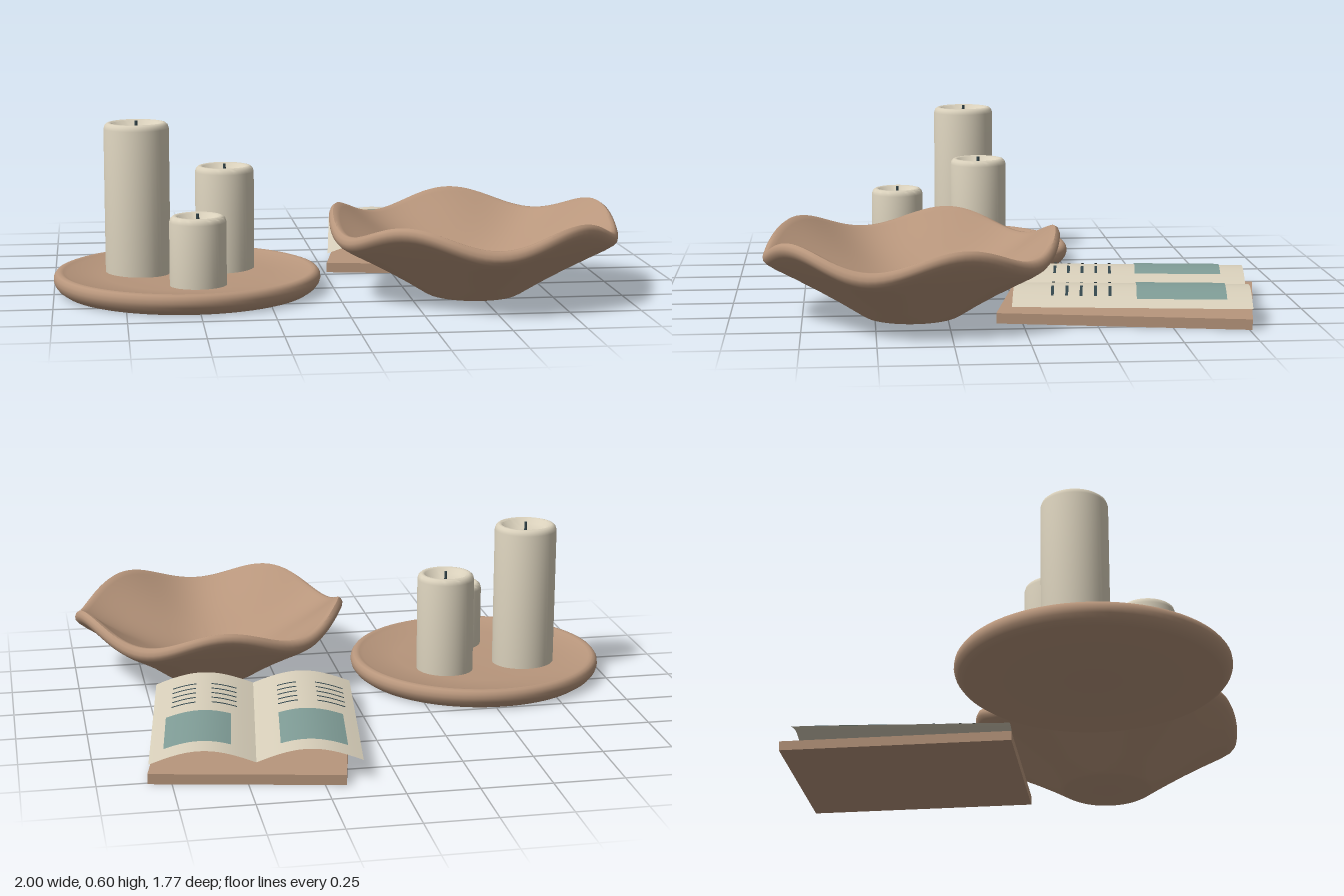
import * as THREE from 'three';
import { toCreasedNormals } from 'three/addons/utils/BufferGeometryUtils.js';

const material = (name, color, side = THREE.FrontSide) => {
  const m = new THREE.MeshStandardMaterial({ color, side });
  m.name = name;
  return m;
};

function lathe(profile, segments = 80) {
  return new THREE.LatheGeometry(profile.map(([r, y]) => new THREE.Vector2(r, y)), segments);
}

// Page surface: each half of the open book is an arch
const HALF = 0.358, LENGTH = 0.81;
const pageHeight = (x) => 0.07 + 0.044 * Math.sin(Math.PI * Math.min(1, Math.abs(x) / HALF));

// Sheet that follows the page arch, raised by lift
function pageSheet(cx, cz, w, d, lift, segments) {
  const geo = new THREE.PlaneGeometry(w, d, segments, 1).rotateX(-Math.PI / 2).translate(cx, 0, cz);
  const p = geo.attributes.position;
  for (let i = 0; i < p.count; i++) p.setY(i, pageHeight(p.getX(i)) + lift);
  geo.computeVertexNormals();
  return geo;
}

export function createModel() {
  const wood = material('warm wood', 0xb8967c);
  const cream = material('cream wax and paper', 0xd8cfba, THREE.DoubleSide);
  const teal = material('muted teal', 0x7f9c96, THREE.DoubleSide);
  const dark = material('dark slate', 0x33464c, THREE.DoubleSide);

  const model = new THREE.Group();
  model.name = 'tableDecor';
  const add = (parent, name, geo, mat, x = 0, y = 0, z = 0) => {
    const mesh = new THREE.Mesh(geo, mat);
    mesh.name = name;
    mesh.position.set(x, y, z);
    parent.add(mesh);
    return mesh;
  };

  // Round tray with a shallow dish
  const trayProfile = [
    [0, 0], [0.442, 0], [0.462, 0.014], [0.474, 0.03], [0.478, 0.045], [0.476, 0.06],
    [0.468, 0.071], [0.456, 0.075], [0.444, 0.072], [0.43, 0.065], [0.3, 0.056], [0, 0.045],
  ];
  add(model, 'tray', toCreasedNormals(lathe(trayProfile), 0.7), wood, -0.523, 0, 0.2);

  // Candles with a hollow top and a wick
  const candles = [
    ['tallCandle', -0.698, 0.122, 0.117, 0.597],
    ['mediumCandle', -0.38, 0.083, 0.107, 0.43],
    ['smallCandle', -0.495, 0.395, 0.1, 0.3],
  ];
  for (const [name, x, z, r, top] of candles) {
    const candle = new THREE.Group();
    candle.name = name;
    candle.position.set(x, 0, z);
    const wax = [
      [0, 0.045], [r, 0.045], [r, top - 0.022], [r - 0.004, top - 0.009], [r - 0.012, top - 0.002],
      [r - 0.02, top], [r - 0.028, top - 0.004], [r - 0.04, top - 0.02], [r * 0.35, top - 0.03], [0, top - 0.032],
    ];
    add(candle, 'wax', toCreasedNormals(lathe(wax, 48), 0.9), cream);
    add(candle, 'wick', new THREE.CylinderGeometry(0.005, 0.006, 0.04, 8), dark, 0, top - 0.014, 0);
    model.add(candle);
  }

  // Bowl whose rim rises and falls in five waves
  const bowlProfile = [
    [0, 0], [0.165, 0], [0.18, 0.008], [0.25, 0.055], [0.33, 0.108], [0.41, 0.16], [0.47, 0.199], [0.5, 0.222],
    [0.511, 0.236], [0.513, 0.25], [0.508, 0.263], [0.498, 0.271], [0.486, 0.269], [0.474, 0.26],
    [0.42, 0.224], [0.34, 0.177], [0.25, 0.133], [0.16, 0.093], [0.08, 0.062], [0, 0.04],
  ];
  const bowl = lathe(bowlProfile, 120);
  const p = bowl.attributes.position;
  for (let i = 0; i < p.count; i++) {
    const x = p.getX(i), z = p.getZ(i);
    const t = Math.max(0, (Math.hypot(x, z) - 0.165) / 0.348);
    p.setY(i, p.getY(i) - 0.036 * Math.pow(t, 1.5) * Math.cos(5 * Math.atan2(x, z)));
  }
  add(model, 'wavyBowl', toCreasedNormals(bowl, 0.8), wood, 0.485, 0, 0.37);

  // Board under the book
  const board = add(model, 'bookBoard', new THREE.BoxGeometry(0.663, 0.036, 0.866), wood, 0.42, 0.018, -0.4);
  board.rotation.y = -0.197;

  // Open book: arched pages, pictures and lines of print
  const book = new THREE.Group();
  book.name = 'openBook';
  book.position.set(0.42, 0, -0.405);
  book.rotation.y = -0.125;
  for (const s of [-1, 1]) {
    const side = s > 0 ? 'left' : 'right';
    add(book, side + 'Page', pageSheet(s * HALF / 2, 0, HALF, LENGTH, 0, 28), cream);
    add(book, side + 'Picture', pageSheet(s * 0.197, -0.168, 0.227, 0.305, 0.004, 16), teal);
    const columns = s < 0 ? [[-0.275, 0.1], [-0.12, 0.07]] : [[0.107, 0.09], [0.25, 0.085]];
    for (const [cx, w] of columns) {
      for (let row = 0; row < 5; row++) {
        add(book, side + 'PrintLine', pageSheet(cx, 0.075 + row * 0.049, w, 0.01, 0.003, 6), dark);
      }
    }
  }
  model.add(book);
  return model;
}
